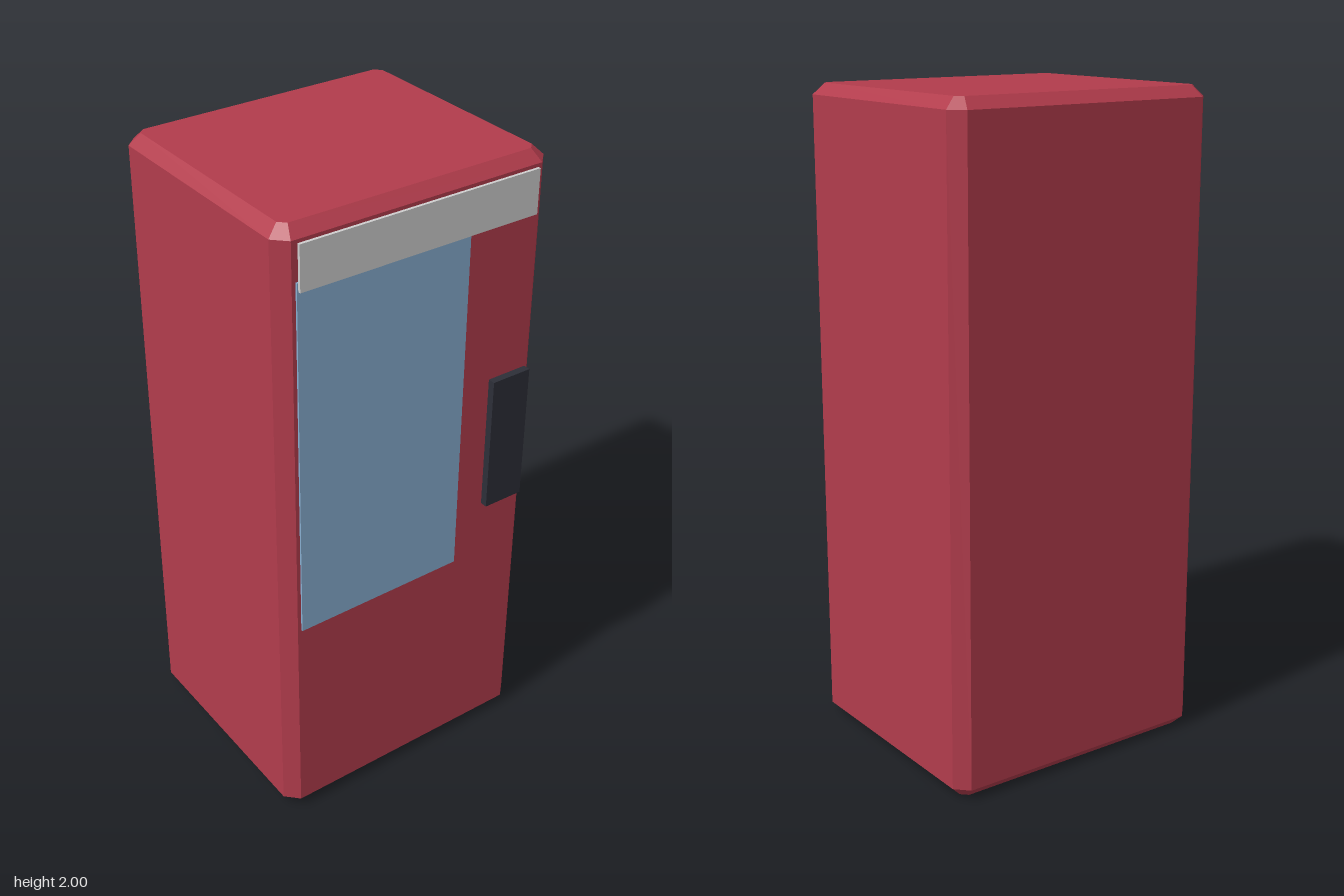
import * as THREE from 'three';

const flat = (name, color) => {
  const m = new THREE.MeshStandardMaterial({ color });
  m.name = name;
  return m;
};

// Octagon outline: a rectangle with cut corners
function cutRectangle(x, y, cut) {
  return new THREE.Shape([
    [x - cut, -y], [x, -y + cut], [x, y - cut], [x - cut, y],
    [-x + cut, y], [-x, y - cut], [-x, -y + cut], [-x + cut, -y],
  ].map(([a, b]) => new THREE.Vector2(a, b)));
}

// Box placed by its limits on each axis
function panel(name, material, [x0, x1], [y0, y1], [z0, z1]) {
  const mesh = new THREE.Mesh(new THREE.BoxGeometry(x1 - x0, y1 - y0, z1 - z0), material);
  mesh.position.set((x0 + x1) / 2, (y0 + y1) / 2, (z0 + z1) / 2);
  mesh.name = name;
  return mesh;
}

export function createModel() {
  const group = new THREE.Group();
  group.name = 'vendingMachine';
  const red = flat('cabinet red', 0xb23c4c);
  const blue = flat('window blue', 0x88aed0);
  const grey = flat('sign grey', 0xcfcfcf);
  const dark = flat('panel dark', 0x2d2f38);

  // Cabinet with every edge chamfered
  const bevel = 0.033;
  const geometry = new THREE.ExtrudeGeometry(cutRectangle(0.412, 0.356, 0.02), {
    depth: 2 - 2 * bevel, bevelEnabled: true, bevelSegments: 1,
    bevelSize: bevel, bevelThickness: bevel,
  });
  geometry.translate(0, 0, bevel);
  geometry.rotateX(-Math.PI / 2);
  const cabinet = new THREE.Mesh(geometry, red);
  cabinet.position.z = -0.012;
  cabinet.name = 'cabinet';
  group.add(cabinet);

  // Front fittings
  group.add(
    panel('displayWindow', blue, [-0.394, 0.165], [0.72, 1.85], [0.375, 0.383]),
    panel('headerSign', grey, [-0.39, 0.388], [1.825, 1.96], [0.383, 0.392]),
    panel('controlPanel', dark, [0.265, 0.398], [0.895, 1.333], [0.375, 0.4]),
  );
  return group;
}
